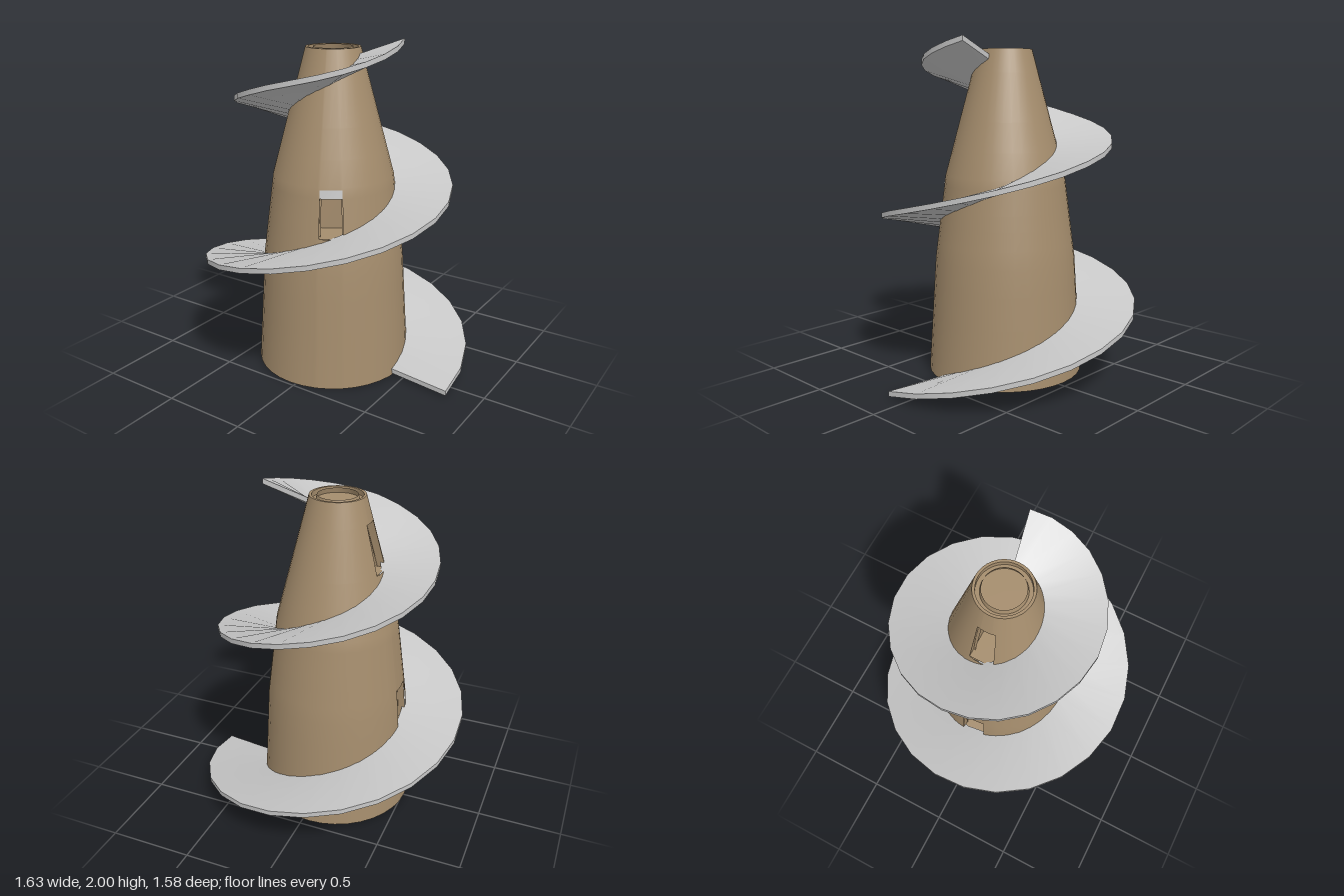
import * as THREE from 'three';

const CX = -0.04, CZ = 0.01;
const DEG = Math.PI / 180;

// linear interpolation through [position, value] pairs, extended at both ends
function interp(pairs, p) {
  let i = 0;
  while (i < pairs.length - 2 && p > pairs[i + 1][0]) i++;
  const [a, b] = [pairs[i], pairs[i + 1]];
  return a[1] + (b[1] - a[1]) * (p - a[0]) / (b[0] - a[0]);
}

const PROFILE = [[0, 0.47], [0.7, 0.425], [1.2, 0.36], [1.94, 0.16]];
const towerRadius = (y) => interp(PROFILE, y);
const point = (deg, r, y) => [CX + r * Math.cos(deg * DEG), y, CZ - r * Math.sin(deg * DEG)];

// smooth grid surface; cells for which skip() is true are left open
function grid(us, vs, fn, { flip = false, closed = false, skip = () => false } = {}) {
  const pos = [], idx = [], n = us.length;
  for (const v of vs) for (const u of us) pos.push(...fn(u, v));
  for (let j = 0; j < vs.length - 1; j++) {
    for (let i = 0; i < (closed ? n : n - 1); i++) {
      const k = (i + 1) % n;
      const um = k ? (us[i] + us[k]) / 2 : (us[i] + 360) / 2;
      if (skip(um, (vs[j] + vs[j + 1]) / 2)) continue;
      const a = j * n + i, b = j * n + k, c = b + n, d = a + n;
      if (flip) idx.push(a, c, b, a, d, c);
      else idx.push(a, b, c, a, c, d);
    }
  }
  const g = new THREE.BufferGeometry();
  g.setAttribute('position', new THREE.Float32BufferAttribute(pos, 3));
  g.setIndex(idx);
  g.computeVertexNormals();
  return g;
}

// doorways, each opening just above the ramp
const DOORS = [
  { deg: 180, y0: 0.54, y1: 0.8, half: 9.5 },
  { deg: 302, y0: 0.91, y1: 1.14, half: 10 },
  { deg: 180, y0: 1.52, y1: 1.8, half: 15 },
];
const inDoor = (deg, y) => DOORS.some((d) => Math.abs(deg - d.deg) < d.half && y > d.y0 && y < d.y1);
const sorted = (list) => [...new Set(list)].sort((a, b) => a - b);

export function createModel() {
  const model = new THREE.Group();
  const stone = new THREE.MeshStandardMaterial({ color: 0xa58d6d, side: THREE.DoubleSide });
  stone.name = 'tan stone';
  const grey = new THREE.MeshStandardMaterial({ color: 0xc8c8c8, side: THREE.DoubleSide });
  grey.name = 'light grey';
  const add = (parent, name, geometry, material) => {
    const mesh = new THREE.Mesh(geometry, material);
    mesh.name = name;
    parent.add(mesh);
  };

  // hollow tower walls with door openings
  const tower = new THREE.Group();
  tower.name = 'tower';
  const angles = sorted([
    ...Array.from({ length: 36 }, (_, i) => i * 10),
    ...DOORS.flatMap((d) => [d.deg - d.half, d.deg + d.half]),
  ]);
  const levels = sorted([...PROFILE.map((p) => p[0]), 0.35, 1, 1.35, ...DOORS.flatMap((d) => [d.y0, d.y1])]);
  const wall = (inset) => (deg, y) => point(deg, towerRadius(y) - inset, y);
  add(tower, 'outerWall', grid(angles, levels, wall(0), { closed: true, skip: inDoor }), stone);
  add(tower, 'innerWall', grid(angles, levels, wall(0.045), { closed: true, skip: inDoor, flip: true }), stone);

  // foot ring, top rim and recessed top
  const flatRing = (r0, r1, y) => grid(angles, [r1, r0], (deg, r) => point(deg, r, y), { closed: true });
  add(tower, 'footRing', flatRing(0.425, 0.47, 0), stone);
  tower.children.at(-1).geometry.index.array.reverse();
  tower.children.at(-1).geometry.computeVertexNormals();
  add(tower, 'topRim', flatRing(0.145, 0.16, 1.94), stone);
  add(tower, 'topRimInside', grid(angles, [1.91, 1.94], (deg, y) => point(deg, 0.145, y), { closed: true, flip: true }), stone);
  const cap = new THREE.CircleGeometry(0.145, 36).rotateX(-Math.PI / 2).translate(CX, 1.91, CZ);
  add(tower, 'topFloor', cap, stone);
  model.add(tower);

  // door recesses: sill, head, two jambs and a back
  const DEPTH = 0.16;
  DOORS.forEach((d, i) => {
    const recess = new THREE.Group();
    recess.name = 'doorway' + (i + 1);
    const back = towerRadius(d.y1) - (i === 2 ? 0.11 : DEPTH);
    const width = 2 * towerRadius(d.y0) * Math.sin(d.half * DEG);
    const spread = Math.asin(Math.min(0.95, width / 2 / back)) / DEG;
    // s runs across the door, t from the outer wall to the back
    const at = (s, y, t) => {
      const a = point(d.deg + s * d.half, towerRadius(y), y);
      const b = point(d.deg + s * spread, back, y);
      return a.map((v, k) => v + (b[k] - v) * t);
    };
    const side = [-1, 1], ends = [0, 1], ys = [d.y0, d.y1];
    add(recess, 'sill', grid(side, ends, (s, t) => at(s, d.y0, t)), stone);
    add(recess, 'head', grid(side, ends, (s, t) => at(s, d.y1, t), { flip: true }), stone);
    add(recess, 'jambA', grid(ends, ys, (t, y) => at(-1, y, t), { flip: true }), stone);
    add(recess, 'jambB', grid(ends, ys, (t, y) => at(1, y, t)), stone);
    add(recess, 'back', grid(side, ys, (s, y) => at(s, y, 1)), stone);
    model.add(recess);
  });

  // pale lintel over the front doorway
  const f = DOORS[1];
  add(model, 'lintel', grid([f.deg - f.half, f.deg, f.deg + f.half], [1.14, 1.19], wall(-0.004)), grey);

  // spiral ramp: two turns, narrowing with the tower and tilting near the top
  const rim = (list) => list.map((v, i) => [i * 90, v]);
  const HEIGHT = rim([0.06, 0.33, 0.59, 0.84, 1.08, 1.34, 1.56, 1.8, 1.98]);
  const RADIUS = rim([0.85, 0.805, 0.785, 0.78, 0.725, 0.67, 0.59, 0.55, 0.44]);
  const START = -7, END = 730, STEPS = 49, THICK = 0.03;
  const corner = (deg, outer, top) => {
    const t = (deg - START) / (END - START);
    const yOut = interp(HEIGHT, deg);
    const yIn = yOut - 0.1 * t * t;
    const y = (outer ? yOut : yIn) - (top ? 0 : THICK);
    return point(deg, outer ? interp(RADIUS, deg) : towerRadius(yIn) - 0.02, y);
  };
  const turns = Array.from({ length: STEPS + 1 }, (_, i) => START + (END - START) * i / STEPS);
  const ramp = new THREE.Group();
  ramp.name = 'spiralRamp';
  add(ramp, 'rampTop', grid(turns, [1, 0], (deg, o) => corner(deg, o, 1)), grey);
  add(ramp, 'rampUnderside', grid(turns, [0, 1], (deg, o) => corner(deg, o, 0)), grey);
  add(ramp, 'rampOuterEdge', grid(turns, [0, 1], (deg, t) => corner(deg, 1, t)), grey);
  add(ramp, 'rampFoot', grid([0, 1], [0, 1], (o, t) => corner(START, o, t)), grey);
  add(ramp, 'rampHead', grid([0, 1], [0, 1], (o, t) => corner(END, o, t), { flip: true }), grey);
  model.add(ramp);

  return model;
}
